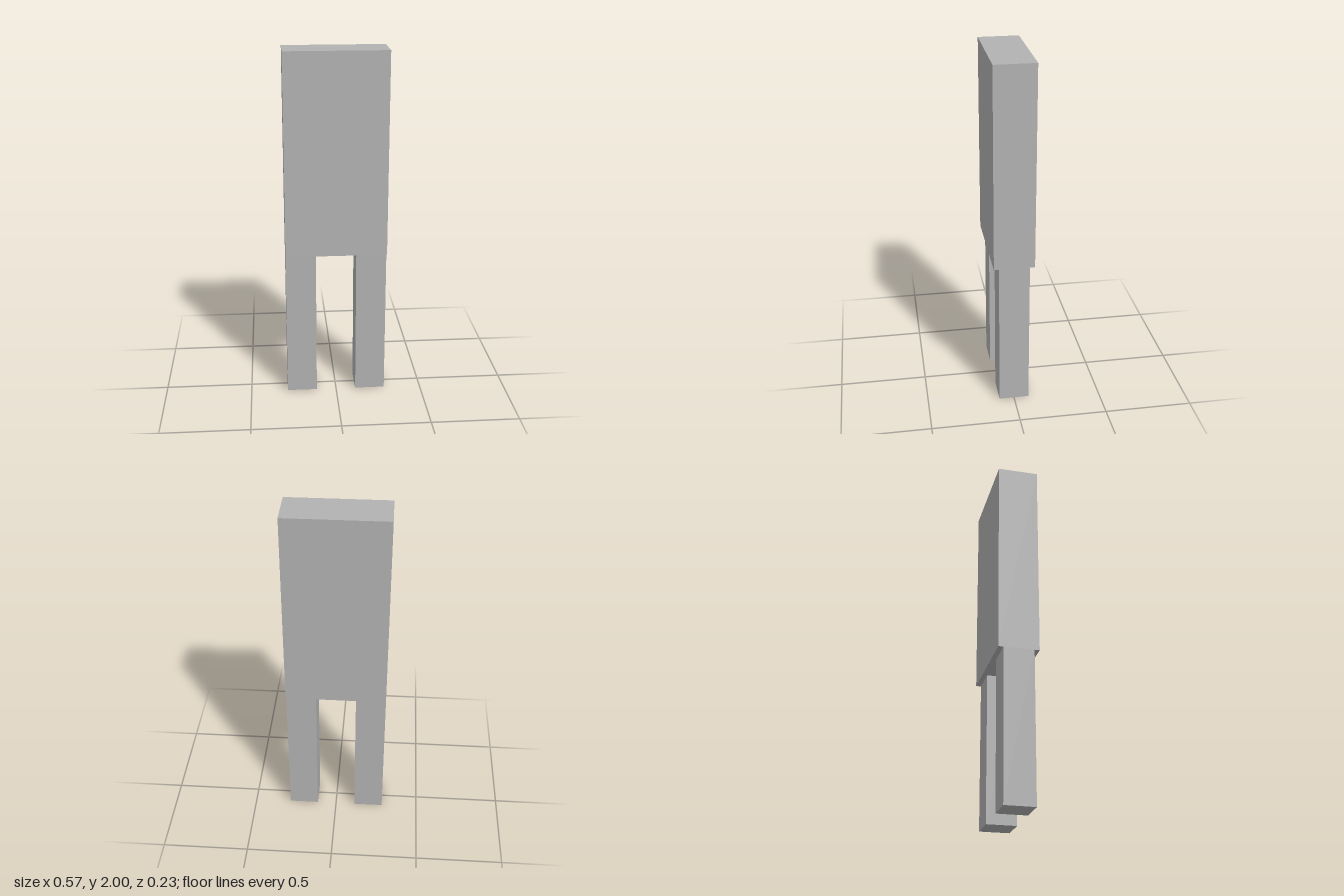
import * as THREE from 'three';

const UNIT = 2 / 70; // the model is 70 units tall

export function createModel() {
  const group = new THREE.Group();
  const grey = new THREE.MeshStandardMaterial({ color: 0xb2b2b2 });
  grey.name = 'grey';

  // Box standing on height y, sizes in units
  function box(name, w, h, d, x, y) {
    const geometry = new THREE.BoxGeometry(w * UNIT, h * UNIT, d * UNIT);
    const mesh = new THREE.Mesh(geometry, grey);
    mesh.name = name;
    mesh.position.set(x * UNIT, (y + h / 2) * UNIT, 0);
    group.add(mesh);
  }

  // Slab body
  box('body', 20, 40, 8, 0, 30);

  // Pair of legs, flush with the sides of the body
  for (const side of [1, -1]) {
    box(side > 0 ? 'leftLeg' : 'rightLeg', 6, 30, 6, side * 7, 0);
  }

  return group;
}
